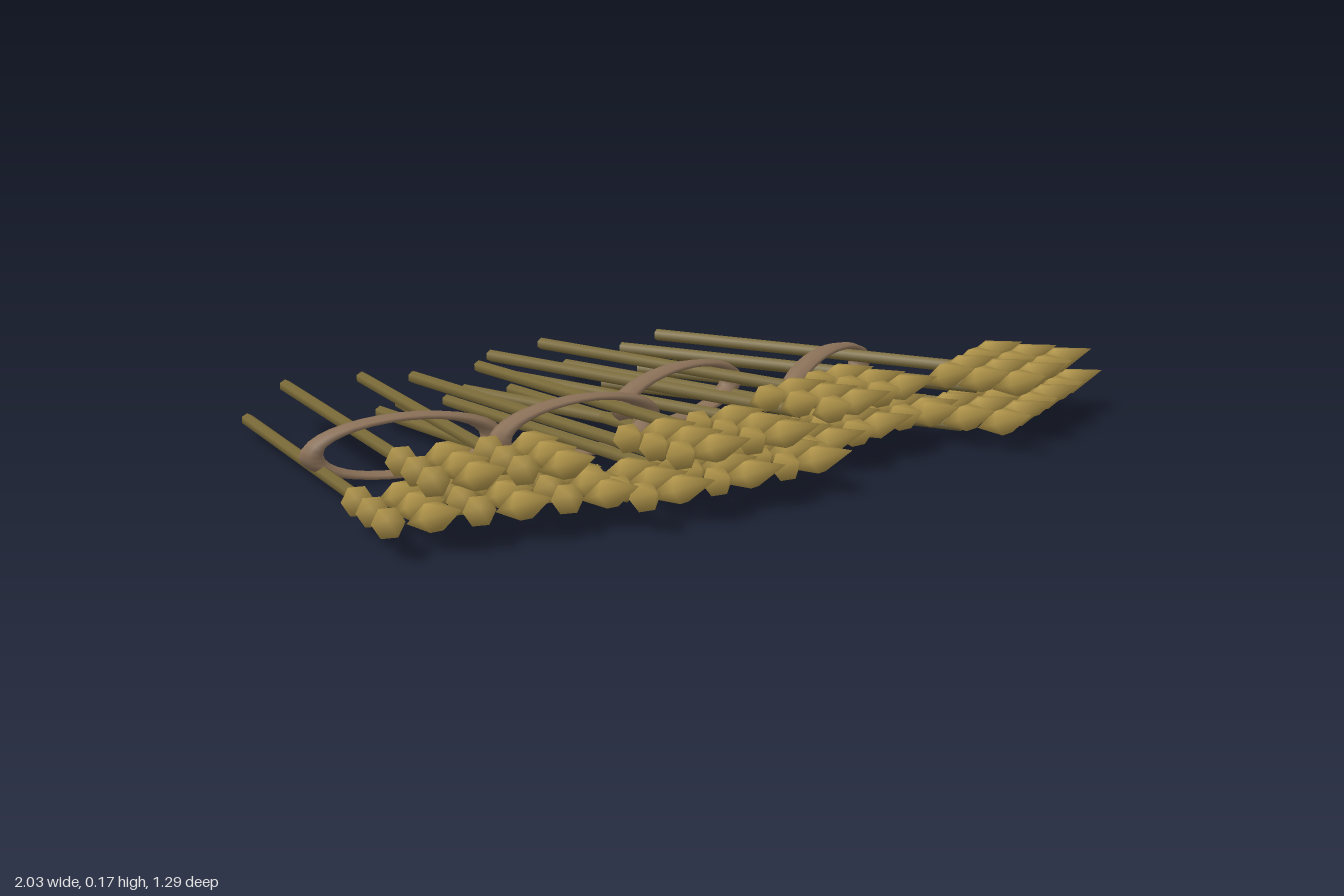
import * as THREE from 'three';

const mat = (name, color) => Object.assign(new THREE.MeshStandardMaterial({ color }), { name });

export function createModel() {
  const straw = mat('straw', 0x7a6a38);
  const grain = mat('grain', 0xb0944a);
  const twine = mat('twine', 0x8a7058);

  // Stalk lying along z
  const stalkGeo = new THREE.CylinderGeometry(0.0148, 0.0148, 0.93, 6);
  stalkGeo.rotateX(Math.PI / 2).translate(0, 0, -0.048);

  // Kernel: a long six-sided double cone with its tip along +z
  const kernelGeo = new THREE.SphereGeometry(1, 6, 2);
  kernelGeo.rotateX(Math.PI / 2).scale(0.033, 0.033, 0.083);

  // Flattened oval tie
  const tieGeo = new THREE.TorusGeometry(0.205, 0.027, 6, 32);
  tieGeo.scale(1, 0.305, 1);

  const add = (parent, name, geo, material) => {
    const mesh = new THREE.Mesh(geo, material);
    mesh.name = name;
    parent.add(mesh);
    return mesh;
  };

  // One stalk with kernels leaning out and up on both sides
  function makeEar() {
    const ear = new THREE.Group();
    ear.name = 'wheatEar';
    add(ear, 'stalk', stalkGeo, straw);
    for (const side of [-1, 1]) {
      for (let i = 0; i < 3; i++) {
        const kernel = add(ear, 'kernel', kernelGeo, grain);
        kernel.position.set(side * 0.046, 0.031, 0.363 + i * 0.085);
        const dir = new THREE.Vector3(side * 0.4, 0.4, 1).normalize();
        kernel.quaternion.setFromUnitVectors(new THREE.Vector3(0, 0, 1), dir);
      }
    }
    return ear;
  }

  // Bundle: three stalks below, two above in the gaps, held by a tie
  function makeBundle() {
    const bundle = new THREE.Group();
    bundle.name = 'bundle';
    for (let i = -2; i <= 2; i++) {
      const ear = makeEar();
      ear.position.set(i * 0.093, i % 2 ? 0.035 : -0.035, 0);
      bundle.add(ear);
    }
    add(bundle, 'tie', tieGeo, twine);
    return bundle;
  }

  // Four bundles fanned out side by side: x, z, turn in degrees
  const model = new THREE.Group();
  model.name = 'wheatBundles';
  const places = [[-0.625, -0.102, -13], [-0.24, 0.005, -1.1], [0.145, -0.102, 11], [0.54, -0.012, 22.3]];
  for (const [x, z, turn] of places) {
    const bundle = makeBundle();
    bundle.position.set(x, 0.071, z);
    bundle.rotation.y = THREE.MathUtils.degToRad(turn);
    model.add(bundle);
  }
  return model;
}
